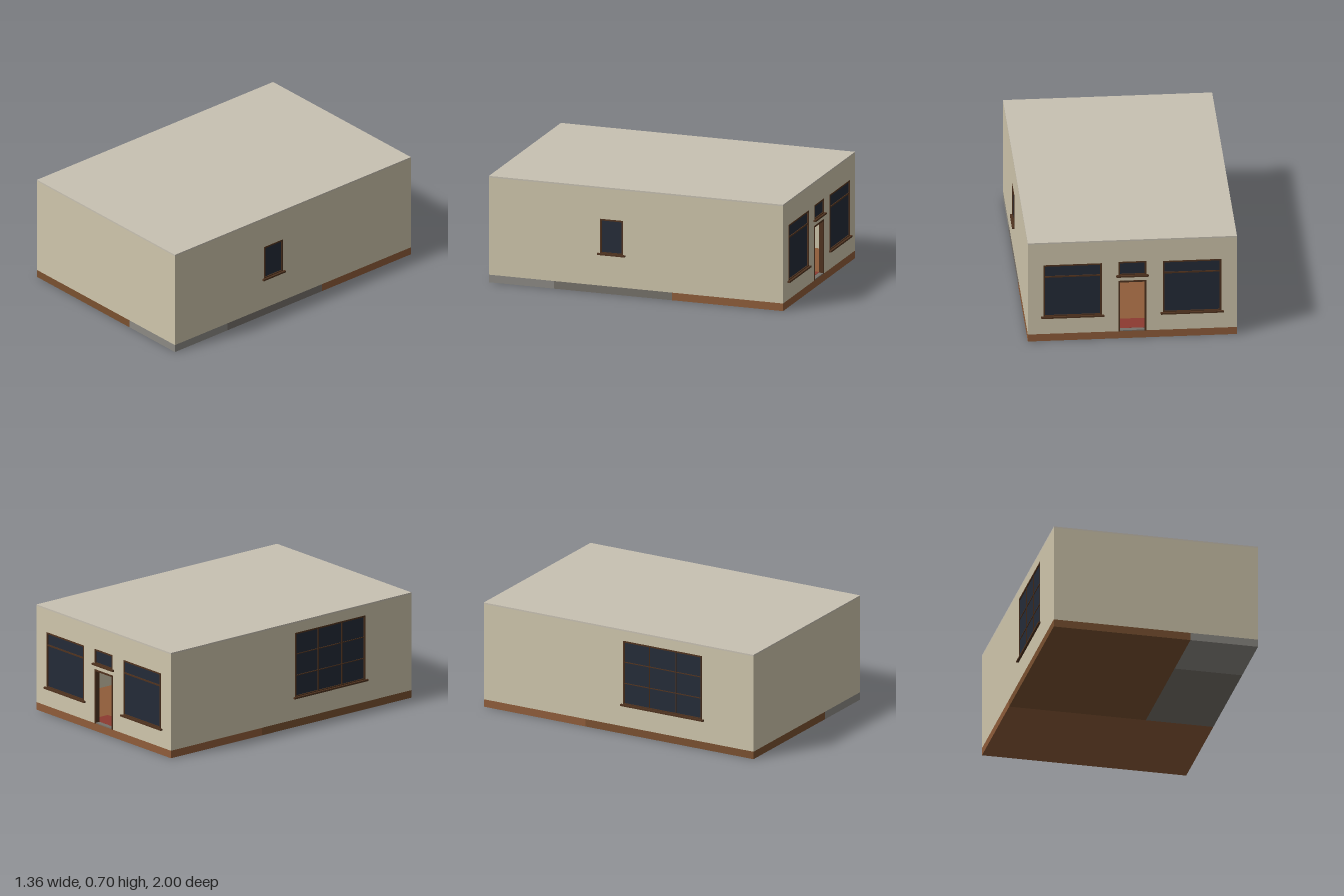
import * as THREE from 'three';

const W = 0.665, Z0 = -0.985, Z1 = 1, T = 0.03, FLOOR = 0.05, TOP = 0.69;
const mat = (color, side = THREE.FrontSide) => new THREE.MeshStandardMaterial({ color, side });
const M = {
  wall: mat(0xcfc6ac), roof: mat(0xc8c1b2), wood: mat(0x50331f), glass: mat(0x242b38),
  shopFloor: mat(0x8f5d3a), hallFloor: mat(0x7a5130), tile: mat(0x8c8a84), stone: mat(0x76716a),
  rug: mat(0x8c3a30), lamp: mat(0xd8b878, THREE.DoubleSide), metal: mat(0x2a2018),
};

// Box given by its min and max corners
function box(parent, name, material, a, b) {
  const mesh = new THREE.Mesh(new THREE.BoxGeometry(b[0] - a[0], b[1] - a[1], b[2] - a[2]), material);
  mesh.position.set((a[0] + b[0]) / 2, (a[1] + b[1]) / 2, (a[2] + b[2]) / 2);
  mesh.name = name;
  parent.add(mesh);
  return mesh;
}

// Wall whose outer face is local z = 0, with rectangular openings [u0, u1, y0, y1]
function wall(name, u0, u1, openings) {
  const group = new THREE.Group();
  group.name = name;
  const rect = (path, a, b, c, d) => path.moveTo(a, c).lineTo(b, c).lineTo(b, d).lineTo(a, d).closePath();
  const shape = new THREE.Shape();
  rect(shape, u0, u1, FLOOR, TOP);
  for (const [a, b, c, d] of openings) {
    const hole = new THREE.Path();
    rect(hole, a, b, c, d);
    shape.holes.push(hole);
  }
  const mesh = new THREE.Mesh(new THREE.ExtrudeGeometry(shape, { depth: T, bevelEnabled: false }), M.wall);
  mesh.position.z = -T;
  mesh.name = name + 'Panel';
  group.add(mesh);
  return group;
}

// Timber surround; the bottom rail is left out for a doorway
function frame(group, name, [a, b, c, d], t, bottom = true) {
  const back = -T, front = 0.002;
  box(group, name + 'JambA', M.wood, [a, c, back], [a + t, d, front]);
  box(group, name + 'JambB', M.wood, [b - t, c, back], [b, d, front]);
  box(group, name + 'Head', M.wood, [a + t, d - t, back], [b - t, d, front]);
  if (bottom) box(group, name + 'Rail', M.wood, [a + t, c, back], [b - t, c + t, front]);
}

// Glazed window with a projecting sill and bars at the given positions
function window_(group, name, o, { rows = [], cols = [], bar = 0.008, sill = 0.015 } = {}) {
  const [a, b, c, d] = o;
  frame(group, name + 'Frame', o, 0.01);
  box(group, name + 'Glass', M.glass, [a + 0.005, c + 0.005, -0.02], [b - 0.005, d - 0.005, -0.005]);
  for (const y of rows) box(group, name + 'Bar', M.wood, [a, y - bar / 2, -0.015], [b, y + bar / 2, 0]);
  for (const u of cols) box(group, name + 'Mullion', M.wood, [u - bar / 2, c, -0.015], [u + bar / 2, d, 0]);
  box(group, name + 'Sill', M.wood, [a - sill, c - 0.008, -0.01], [b + sill, c + 0.003, 0.015]);
}

export function createModel() {
  const house = new THREE.Group();
  house.name = 'building';

  // Floor slabs of the four rooms
  box(house, 'shopFloor', M.shopFloor, [-W, 0, Z0], [W, FLOOR, -0.235]);
  box(house, 'hallFloor', M.hallFloor, [-W, 0, -0.235], [0.225, FLOOR, Z1]);
  box(house, 'middleFloor', M.stone, [0.225, 0, -0.235], [W, FLOOR, 0.56]);
  box(house, 'cornerFloor', M.tile, [0.225, 0, 0.56], [W, FLOOR, Z1]);

  // Flat roof
  box(house, 'roof', M.roof, [-W, TOP, Z0], [W, 0.70, Z1]);

  // Plain front wall
  const front = wall('frontWall', -W, W, []);
  front.position.z = Z1;
  house.add(front);

  // Shop facade: two display windows, doorway and fanlight
  const shopA = [0.195, 0.565, 0.172, 0.54], shopB = [-0.565, -0.195, 0.172, 0.54];
  const fan = [-0.088, 0.088, 0.447, 0.545], door = [-0.09, 0.09, FLOOR, 0.41];
  const facade = wall('backWall', -W, W, [shopA, shopB, fan, door]);
  facade.rotation.y = Math.PI;
  facade.position.z = Z0;
  window_(facade, 'shopWindow', shopA, { rows: [0.455], bar: 0.01 });
  window_(facade, 'shopWindow', shopB, { rows: [0.455], bar: 0.01 });
  window_(facade, 'fanlight', fan);
  frame(facade, 'doorFrame', door, 0.012, false);
  box(facade, 'doorStep', M.stone, [-0.078, FLOOR, -T], [0.078, FLOOR + 0.006, 0]);
  house.add(facade);

  // Right of the plan (+x): one small window; local u runs towards -z
  const small = [-0.25, -0.095, 0.262, 0.49];
  const east = wall('leftWall', -Z1 + T, -Z0 - T, [small]);
  east.rotation.y = Math.PI / 2;
  east.position.x = W;
  window_(east, 'smallWindow', small);
  house.add(east);

  // Opposite side (-x): large window with bars; local u runs towards +z
  const large = [0.04, 0.62, 0.197, 0.625];
  const west = wall('rightWall', Z0 + T, Z1 - T, [large]);
  west.rotation.y = -Math.PI / 2;
  west.position.x = -W;
  window_(west, 'largeWindow', large, { rows: [0.34, 0.482], cols: [0.233, 0.427], bar: 0.005 });
  house.add(west);

  // Inner partitions along the floor divisions
  box(house, 'shopPartition', M.wall, [-W + T, FLOOR, -0.25], [W - T, TOP, -0.22]);
  box(house, 'roomPartition', M.wall, [0.21, FLOOR, -0.22], [0.24, TOP, Z1 - T]);
  box(house, 'crossPartition', M.wall, [0.24, FLOOR, 0.545], [W - T, TOP, 0.575]);

  // Shop interior: rug, table and hanging lamp
  box(house, 'rug', M.rug, [-0.1, FLOOR, -0.95], [0.16, FLOOR + 0.004, -0.82]);
  box(house, 'tableTop', M.shopFloor, [-0.34, 0.19, -0.82], [-0.13, 0.205, -0.64]);
  for (const x of [-0.33, -0.155]) for (const z of [-0.81, -0.665])
    box(house, 'tableLeg', M.wood, [x, FLOOR, z], [x + 0.015, 0.19, z + 0.015]);
  const lamp = new THREE.Group();
  lamp.name = 'hangingLamp';
  lamp.position.set(-0.25, 0, -0.55);
  const cord = new THREE.Mesh(new THREE.CylinderGeometry(0.003, 0.003, 0.13, 8), M.metal);
  cord.position.y = 0.625;
  cord.name = 'lampCord';
  const shade = new THREE.Mesh(new THREE.CylinderGeometry(0.012, 0.04, 0.045, 20, 1, true), M.lamp);
  shade.position.y = 0.545;
  shade.name = 'lampShade';
  const bulb = new THREE.Mesh(new THREE.SphereGeometry(0.015, 16, 10), M.lamp);
  bulb.position.y = 0.53;
  bulb.name = 'lampBulb';
  lamp.add(cord, shade, bulb);
  house.add(lamp);

  return house;
}
